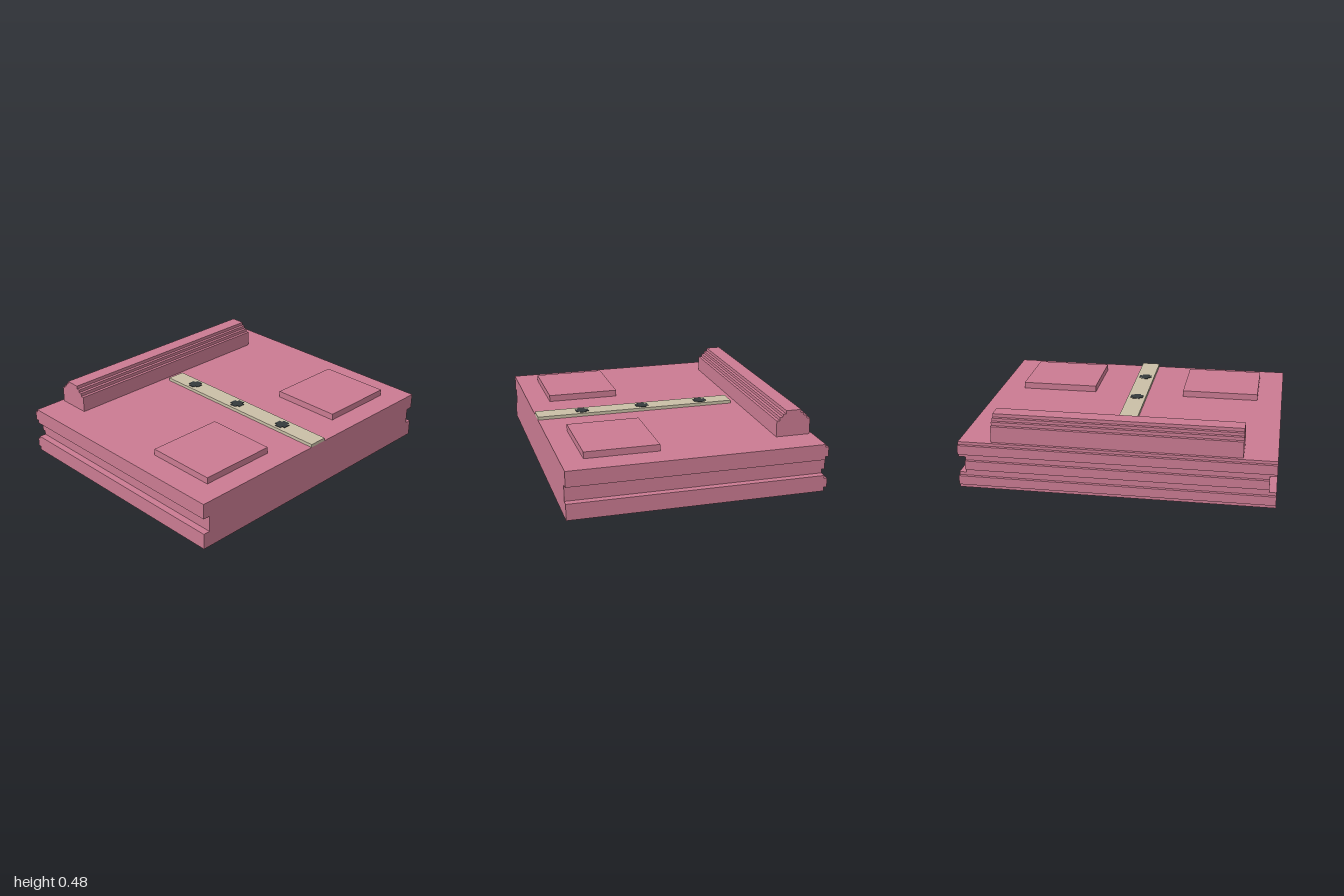
import * as THREE from 'three';

export function createModel() {
  const model = new THREE.Group();
  const pink = new THREE.MeshStandardMaterial({ name: 'rosePink', color: 0xca7b92 });
  const cream = new THREE.MeshStandardMaterial({ name: 'cream', color: 0xc9bfa6 });
  const dark = new THREE.MeshStandardMaterial({ name: 'charcoal', color: 0x343a3c });

  const add = (name, geometry, material) => {
    const mesh = new THREE.Mesh(geometry, material);
    mesh.name = name;
    model.add(mesh);
    return mesh;
  };
  // Box given by its limits on each axis
  const box = (name, [x0, x1], [y0, y1], [z0, z1], material) => {
    const mesh = add(name, new THREE.BoxGeometry(x1 - x0, y1 - y0, z1 - z0), material);
    mesh.position.set((x0 + x1) / 2, (y0 + y1) / 2, (z0 + z1) / 2);
  };
  const extrude = (points, depth) => new THREE.ExtrudeGeometry(
    new THREE.Shape(points.map(([x, y]) => new THREE.Vector2(x, y))),
    { depth, bevelEnabled: false });

  const top = 0.312;

  // Base slab with a groove along each side
  const side = [[1, 0], [1, 0.105], [0.955, 0.105], [0.955, 0.21], [1, 0.21], [1, top]];
  const mirrored = side.map(([x, y]) => [-x, y]).reverse();
  add('base', extrude([...side, ...mirrored], 1.642), pink).position.z = -0.811;

  // Ribs across the back; the middle one lies between the grooves
  [[0.026, 0.085, 1], [0.13, 0.19, 0.955], [0.231, 0.293, 1]].forEach(([y0, y1, x]) =>
    box('backRib', [-x, x], [y0, y1], [-0.831, -0.811], pink));

  // Stepped rail near the back, profile drawn along z and run along x
  const steps = [[0.113, top], [0.113, 0.418], [0.092, 0.418], [0.092, 0.44],
    [0.071, 0.44], [0.071, 0.459], [0.05, 0.459], [0.05, 0.481]];
  const otherSteps = steps.map(([x, y]) => [-x, y]).reverse();
  const rail = add('rail', extrude([...steps, ...otherSteps], 1.58), pink);
  rail.rotation.y = Math.PI / 2;
  rail.position.set(-0.79, 0, -0.678);

  // Raised pads
  box('leftPad', [0.312, 0.831], [top, 0.355], [0.208, 0.685], pink);
  box('rightPad', [-0.831, -0.312], [top, 0.355], [0.208, 0.685], pink);

  // Centre strip with cross-shaped studs
  box('centreStrip', [-0.062, 0.062], [top, 0.333], [-0.52, 0.831], cream);
  const a = 0.043, b = 0.023;
  const cross = [[a, -b], [a, b], [b, b], [b, a], [-b, a], [-b, b],
    [-a, b], [-a, -b], [-b, -b], [-b, -a], [b, -a], [b, -b]];
  for (const z of [-0.312, 0.104, 0.52]) {
    const stud = add('stud', extrude(cross, 0.003), dark);
    stud.rotation.x = -Math.PI / 2;
    stud.position.set(0, 0.333, z);
  }
  return model;
}
